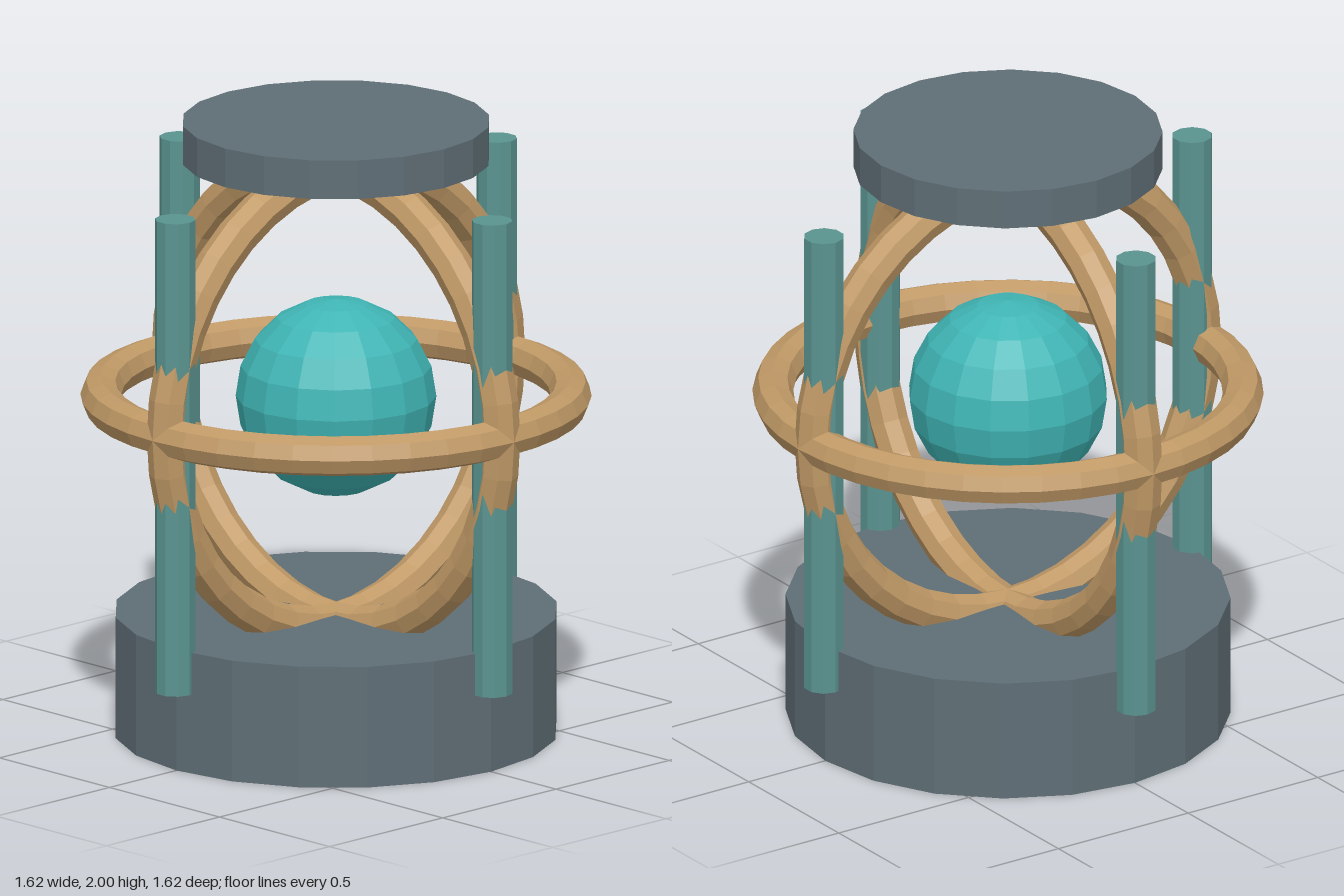
import * as THREE from 'three';

const paint = (name, color) => {
  const m = new THREE.MeshStandardMaterial({ color, flatShading: true });
  m.name = name;
  return m;
};

export function createModel() {
  const slate = paint('slate', 0x5f6e76);
  const verdigris = paint('verdigris', 0x5a9490);
  const bronze = paint('bronze', 0xc09966);
  const teal = paint('teal', 0x40b5b5);

  const model = new THREE.Group();
  model.name = 'cagedOrb';
  const add = (name, geometry, material, x, y, z) => {
    const mesh = new THREE.Mesh(geometry, material);
    mesh.name = name;
    mesh.position.set(x, y, z);
    model.add(mesh);
    return mesh;
  };
  const centreY = 1.1;

  // Heavy base drum and floating cap disc
  add('base', new THREE.CylinderGeometry(0.705, 0.705, 0.396, 20), slate, 0, 0.198, 0);
  add('cap', new THREE.CylinderGeometry(0.49, 0.49, 0.127, 20), slate, 0, 1.9365, 0);

  // Orb at the centre of the cage
  add('orb', new THREE.SphereGeometry(0.318, 16, 10), teal, 0, centreY - 0.003, 0);

  // Three crossing rings, one in each plane
  const ring = new THREE.TorusGeometry(0.745, 0.065, 8, 40);
  add('frontRing', ring, bronze, 0, centreY, 0);
  add('sideRing', ring, bronze, 0, centreY, 0).rotation.y = Math.PI / 2;
  add('levelRing', ring, bronze, 0, centreY, 0).rotation.x = Math.PI / 2;

  // Four upright rods around the cage
  const rod = new THREE.CylinderGeometry(0.065, 0.065, 1.55, 10);
  const names = ['leftRod', 'frontRod', 'rightRod', 'backRod'];
  names.forEach((name, i) => {
    const a = (i * Math.PI) / 2;
    add(name, rod, verdigris, 0.71 * Math.cos(a), 1.035, 0.71 * Math.sin(a));
  });

  return model;
}
